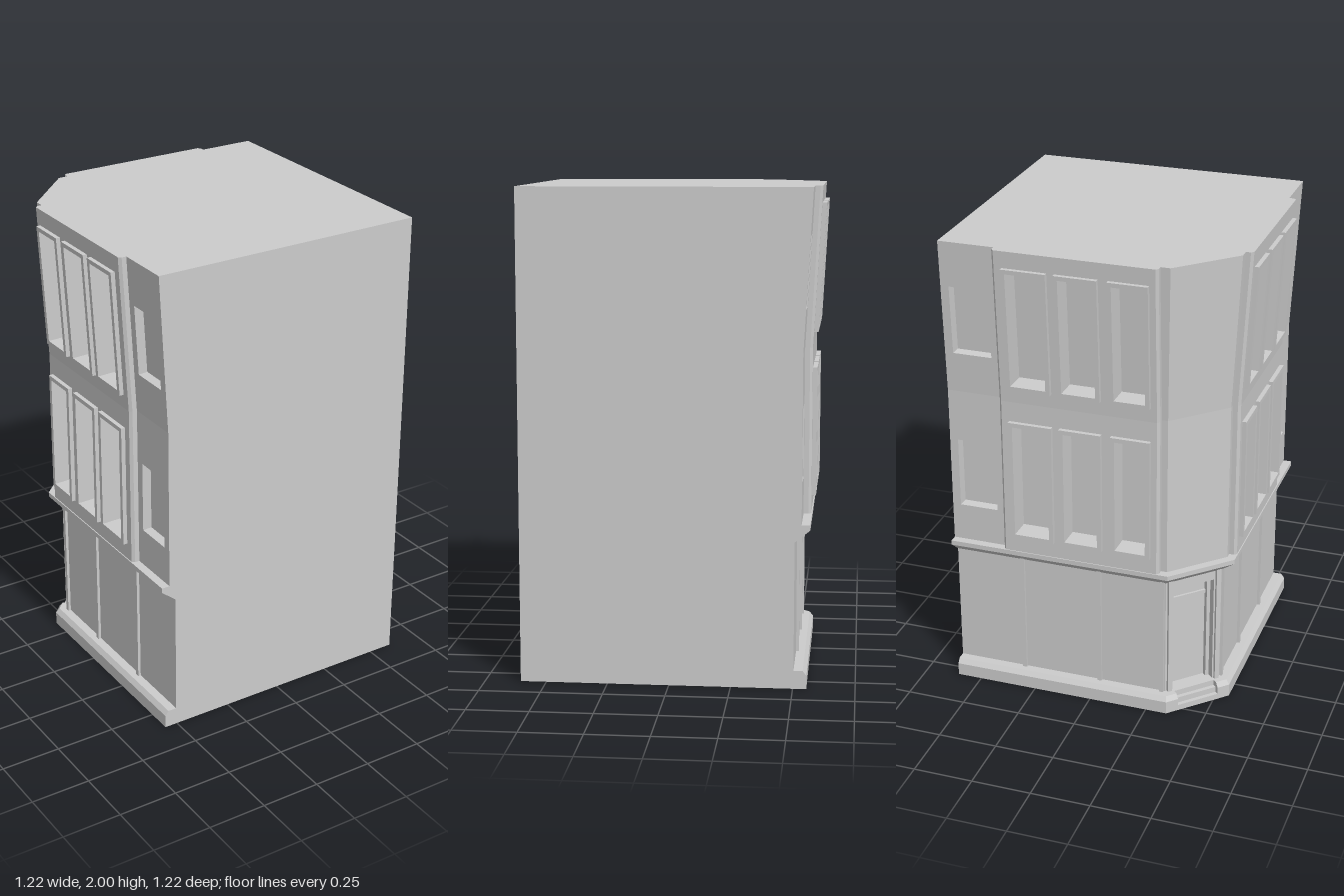
import * as THREE from 'three';

const mat = new THREE.MeshStandardMaterial({ color: 0xcccccc, flatShading: true, side: THREE.DoubleSide });
const E = 0.605, S = Math.SQRT1_2, SPLIT = 1.35, BASE = 0.67;

// Distance of the street walls from the centre: shop floor, upright storey, flaring top storey
const wallAt = y => (y < BASE ? 0.503 : 0.53 + 0.035 * Math.max(0, (y - SPLIT) / (2 - SPLIT)));
// Where the cut corner starts, for a wall at distance d
const cutAt = d => 0.345 - 0.414 * (0.565 - d);

// Placements from local (u along the wall, y up, w outward)
const backFace = { at: (u, y, w) => [u, y, -(wallAt(y) + w)], flip: true };
const sideFace = { at: (u, y, w) => [-(wallAt(y) + w), y, u] };
const cornerDist = (0.503 + cutAt(0.503)) * S;
const cornerFace = { at: (u, y, w) => [(-u - cornerDist - w) * S, y, (u - cornerDist - w) * S] };
const asIs = { at: (x, y, z) => [x, y, z] };

function add(group, name, geometry, face = asIs) {
  const geo = geometry.index ? geometry.toNonIndexed() : geometry;
  const p = geo.attributes.position;
  for (let i = 0; i < p.count; i++) p.setXYZ(i, ...face.at(p.getX(i), p.getY(i), p.getZ(i)));
  if (face.flip) {
    for (let i = 0; i < p.count; i += 3) {
      const a = new THREE.Vector3().fromBufferAttribute(p, i + 1);
      const b = new THREE.Vector3().fromBufferAttribute(p, i + 2);
      p.setXYZ(i + 1, b.x, b.y, b.z);
      p.setXYZ(i + 2, a.x, a.y, a.z);
    }
  }
  geo.computeVertexNormals();
  const mesh = new THREE.Mesh(geo, mat);
  mesh.name = name;
  group.add(mesh);
}

// Skin between successive rings of points; skip(band, segment) leaves openings
function skin(rings, { closed = false, cap = false, skip = () => false } = {}) {
  const v = [];
  const quad = (a, b, c, d) => v.push(...a, ...b, ...c, ...a, ...c, ...d);
  for (let k = 0; k + 1 < rings.length; k++) {
    const a = rings[k], b = rings[k + 1], n = a.length;
    for (let i = 0; i < (closed ? n : n - 1); i++) {
      const j = (i + 1) % n;
      if (!skip(k, i)) quad(a[i], a[j], b[j], b[i]);
    }
  }
  if (cap) quad(...rings[rings.length - 1]);
  const geo = new THREE.BufferGeometry();
  geo.setAttribute('position', new THREE.Float32BufferAttribute(v, 3));
  return geo;
}

const rect = ([u0, u1, y0, y1], w, inset = 0) => [
  [u0 + inset, y0 + inset, w], [u1 - inset, y0 + inset, w],
  [u1 - inset, y1 - inset, w], [u0 + inset, y1 - inset, w]];

const outline = pts => new THREE.Shape(pts.map(p => new THREE.Vector2(p[0], p[1])));

// Flat wall panel with rectangular openings
function panel(r, w, holes) {
  const shape = outline(rect(r, 0));
  shape.holes = holes.map(h => outline(rect(h, 0)));
  return new THREE.ShapeGeometry(shape).translate(0, 0, w);
}

function box(u0, u1, y0, y1, w0, w1) {
  return new THREE.BoxGeometry(u1 - u0, y1 - y0, w1 - w0)
    .translate((u0 + u1) / 2, (y0 + y1) / 2, (w0 + w1) / 2);
}

function facade(name, face) {
  const g = new THREE.Group();
  g.name = name;
  const storeys = [
    { y0: BASE, y1: SPLIT, bay: [0.74, 1.265], small: [0.83, 1.13] },
    { y0: SPLIT, y1: 2, bay: [1.41, 1.93], small: [1.52, 1.81] }];
  for (const s of storeys) {
    // Bay with bevelled edges and three framed windows
    const wins = [[-0.27, -0.105], [-0.065, 0.112], [0.143, 0.328]].map(u => [...u, ...s.bay]);
    add(g, 'bayWall', panel([-0.295, 0.36, s.y0, s.y1], 0.031, wins), face);
    for (const edge of [[[-0.305, 0], [-0.305, 0.02], [-0.295, 0.031]], [[0.36, 0.031], [0.37, 0.02], [0.37, 0]]])
      add(g, 'bayEdge', skin([s.y0, s.y1].map(y => edge.map(([u, w]) => [u, y, w]))), face);
    for (const r of wins)
      add(g, 'bayWindow', skin([rect(r, 0.031), rect(r, 0.049), rect(r, 0.049, 0.018), rect(r, -0.04, 0.022)],
        { closed: true, cap: true }), face);
    // Plain end wall with a small recessed window
    const small = [0.405, 0.57, ...s.small];
    add(g, 'endWall', panel([0.37, E, s.y0, s.y1], 0, [small]), face);
    add(g, 'smallWindow', skin([rect(small, 0), rect(small, -0.035, 0.006)], { closed: true, cap: true }), face);
  }
  // Shop front mullions
  for (const u of [-0.305, -0.03, 0.31])
    add(g, 'shopMullion', box(u - 0.009, u + 0.009, 0.075, 0.61, -0.01, 0.012), face);
  return g;
}

export function createModel() {
  const model = new THREE.Group();
  model.name = 'cornerBuilding';

  // Plinth, shop walls and cornice wrapped round the two streets, open at the doorway
  const door = 0.095;
  const lower = [[0.555, 0], [0.555, 0.055], [0.54, 0.075], [0.503, 0.075], [0.503, 0.6],
    [0.565, 0.65], [0.565, BASE], [0.53, BASE]];
  const lowerRing = ([d, y]) => {
    const c = cutAt(d), m = (d + c) / 2, h = door * S;
    return [[E, y, -d], [-c, y, -d], [-m + h, y, -m - h], [-m - h, y, -m + h], [-d, y, -c], [-d, y, E]];
  };
  add(model, 'shopFloorWalls', skin(lower.map(lowerRing), { skip: (k, i) => k < 4 && i === 2 }));

  // Upper cut corner with the narrow strips beside the bays
  const upper = [[0.53, BASE], [0.53, SPLIT], [0.565, 2]];
  add(model, 'upperCorner', skin(upper.map(([d, y]) => {
    const c = cutAt(d);
    return [[-0.305, y, -d], [-c, y, -d], [-d, y, -c], [-d, y, -0.305]];
  })));

  model.add(facade('backFacade', backFace), facade('sideFacade', sideFace));

  // Recessed doorway
  const opening = [-door, door, 0.075, 0.56];
  add(model, 'doorLintel', panel([-door, door, 0.56, 0.6], 0, []), cornerFace);
  add(model, 'doorway', skin([rect(opening, 0), rect(opening, -0.05, 0)], { closed: true, cap: true }), cornerFace);
  add(model, 'doorTransom', box(-0.08, 0.08, 0.48, 0.495, -0.05, -0.04), cornerFace);
  for (const s of [-1, 1]) {
    add(model, 'doorJamb', box(s * 0.087 - 0.008, s * 0.087 + 0.008, 0.075, 0.56, -0.05, -0.03), cornerFace);
    add(model, 'doorPost', box(s * 0.112 - 0.01, s * 0.112 + 0.01, 0.075, 0.61, -0.01, 0.012), cornerFace);
    // Plinth cheeks beside the steps
    const cheek = outline([[0, 0], [0.0525, 0], [0.0525, 0.055], [0.037, 0.075], [0, 0.075]]);
    add(model, 'stepCheek', new THREE.ShapeGeometry(cheek),
      { at: (w, y) => cornerFace.at(s * door, y, w), flip: s < 0 });
  }
  for (let i = 0; i < 3; i++)
    add(model, 'doorStep', box(-door, door, i * 0.025, (i + 1) * 0.025, -0.01, 0.0525 - i * 0.0175), cornerFace);

  // Blank party walls, following the street wall profile at their edge
  const profile = [...lower, ...upper.slice(1)].map(([d, y]) => [-d, y]);
  const party = () => new THREE.ShapeGeometry(outline([...profile, [E, 2], [E, 0]]));
  add(model, 'frontPartyWall', party(), { at: (s, y) => [s, y, E] });
  add(model, 'leftPartyWall', party(), { at: (s, y) => [E, y, s], flip: true });

  // Flat roof including the tops of the bays
  const d = 0.565, b = 0.596, half = [[0.37, -d], [0.37, -b + 0.011], [0.36, -b], [-0.295, -b],
    [-0.305, -b + 0.011], [-0.305, -d], [-0.345, -d]];
  const roof = [[E, E], [E, -d], ...half, ...half.map(([x, z]) => [z, x]).reverse(), [-d, E]];
  add(model, 'roof', new THREE.ShapeGeometry(outline(roof)), { at: (x, z) => [x, 2, z], flip: true });

  return model;
}
